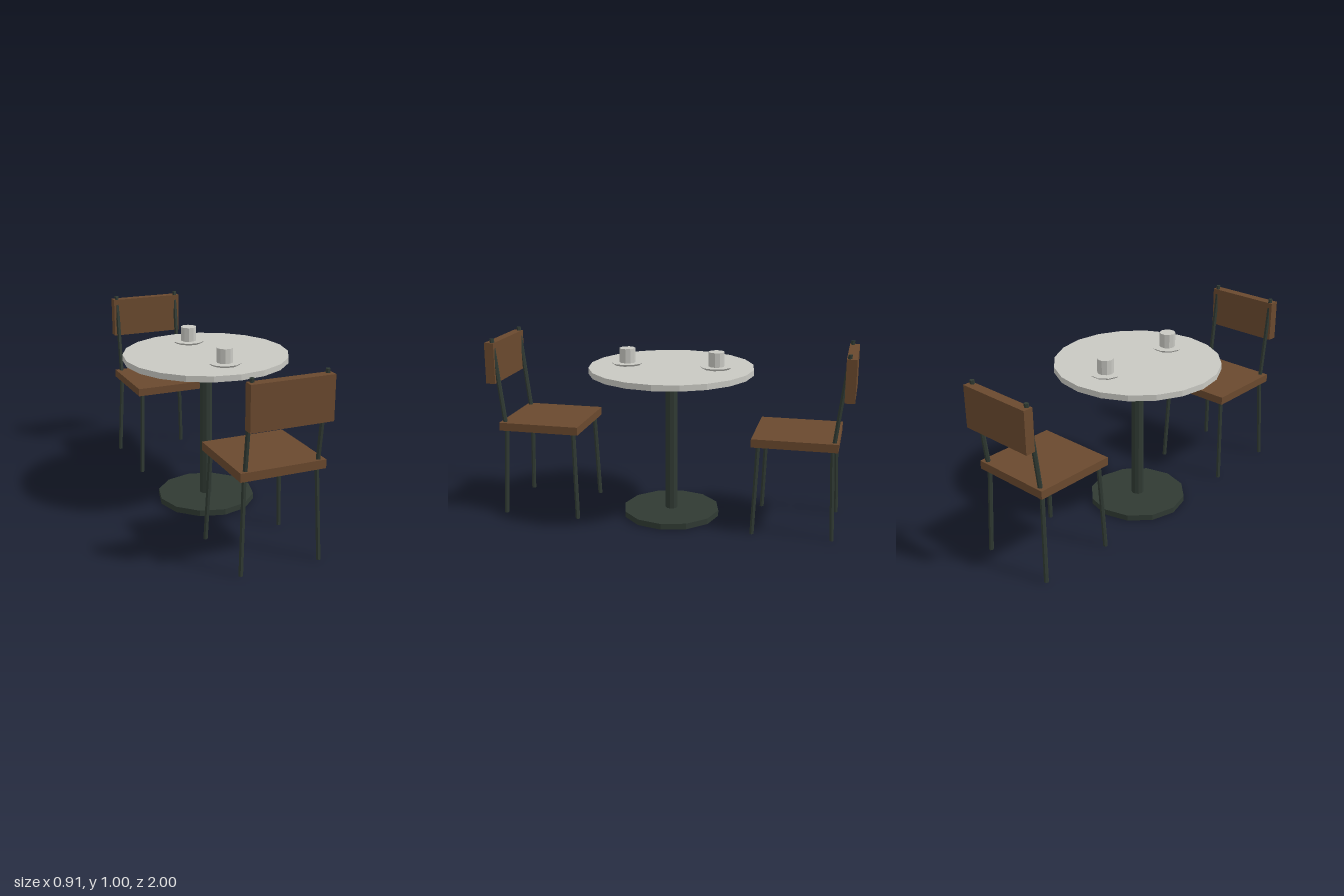
import * as THREE from 'three';

const material = (name, color) => {
  const m = new THREE.MeshStandardMaterial({ color, flatShading: true });
  m.name = name;
  return m;
};

export function createModel() {
  const wood = material('brown wood', 0x6a492e);
  const metal = material('dark metal', 0x303a33);
  const stone = material('pale stone', 0xc8c8c2);

  const add = (parent, name, geometry, mat, x = 0, y = 0, z = 0) => {
    const mesh = new THREE.Mesh(geometry, mat);
    mesh.name = name;
    mesh.position.set(x, y, z);
    parent.add(mesh);
    return mesh;
  };

  // Upright prism between two heights, with a corner on the x axis
  const disc = (parent, name, mat, rTop, rBottom, y0, y1, sides, z = 0) => {
    const g = new THREE.CylinderGeometry(rTop, rBottom, y1 - y0, sides);
    g.rotateY(Math.PI / 2);
    return add(parent, name, g, mat, 0, (y0 + y1) / 2, z);
  };

  // Slanted rod whose ends stay level
  const rod = (parent, name, a, b, r) => {
    const h = b[1] - a[1];
    const g = new THREE.CylinderGeometry(r, r, h, 6);
    g.rotateY(Math.PI / 2);
    g.applyMatrix4(new THREE.Matrix4().set(
      1, (b[0] - a[0]) / h, 0, 0,
      0, 1, 0, 0,
      0, (b[2] - a[2]) / h, 1, 0,
      0, 0, 0, 1));
    return add(parent, name, g, metal, (a[0] + b[0]) / 2, (a[1] + b[1]) / 2, (a[2] + b[2]) / 2);
  };

  const model = new THREE.Group();
  model.name = 'cafeTableSet';

  // Round pedestal table
  const table = new THREE.Group();
  table.name = 'table';
  model.add(table);
  disc(table, 'tableBase', metal, 0.272, 0.272, 0, 0.033, 12);
  disc(table, 'tablePole', metal, 0.0344, 0.0344, 0.033, 0.822, 10);
  disc(table, 'tableTop', stone, 0.454, 0.454, 0.822, 0.854, 20);

  // A cup on a saucer at each place
  for (const z of [0.249, -0.249]) {
    disc(table, 'saucer', stone, 0.09, 0.076, 0.854, 0.866, 10, z);
    disc(table, 'cup', stone, 0.044, 0.044, 0.866, 0.945, 10, z);
  }

  // Two chairs facing the table
  for (const [name, turn] of [['frontChair', 0], ['backChair', Math.PI]]) {
    const chair = new THREE.Group();
    chair.name = name;
    chair.rotation.y = turn;
    model.add(chair);

    add(chair, 'seat', new THREE.BoxGeometry(0.453, 0.045, 0.454), wood, 0, 0.5125, 0.704);
    add(chair, 'backrest', new THREE.BoxGeometry(0.431, 0.227, 0.053), wood, 0, 0.866, 0.9735);

    for (const s of [-1, 1]) {
      rod(chair, 'frontLeg', [s * 0.213, 0, 0.492], [s * 0.193, 0.5, 0.512], 0.0125);
      rod(chair, 'backLeg', [s * 0.213, 0, 0.919], [s * 0.193, 0.5, 0.899], 0.0125);
      rod(chair, 'backPost', [s * 0.193, 0.525, 0.907], [s * 0.193, 1.0, 0.964], 0.0125);
    }
  }
  return model;
}
